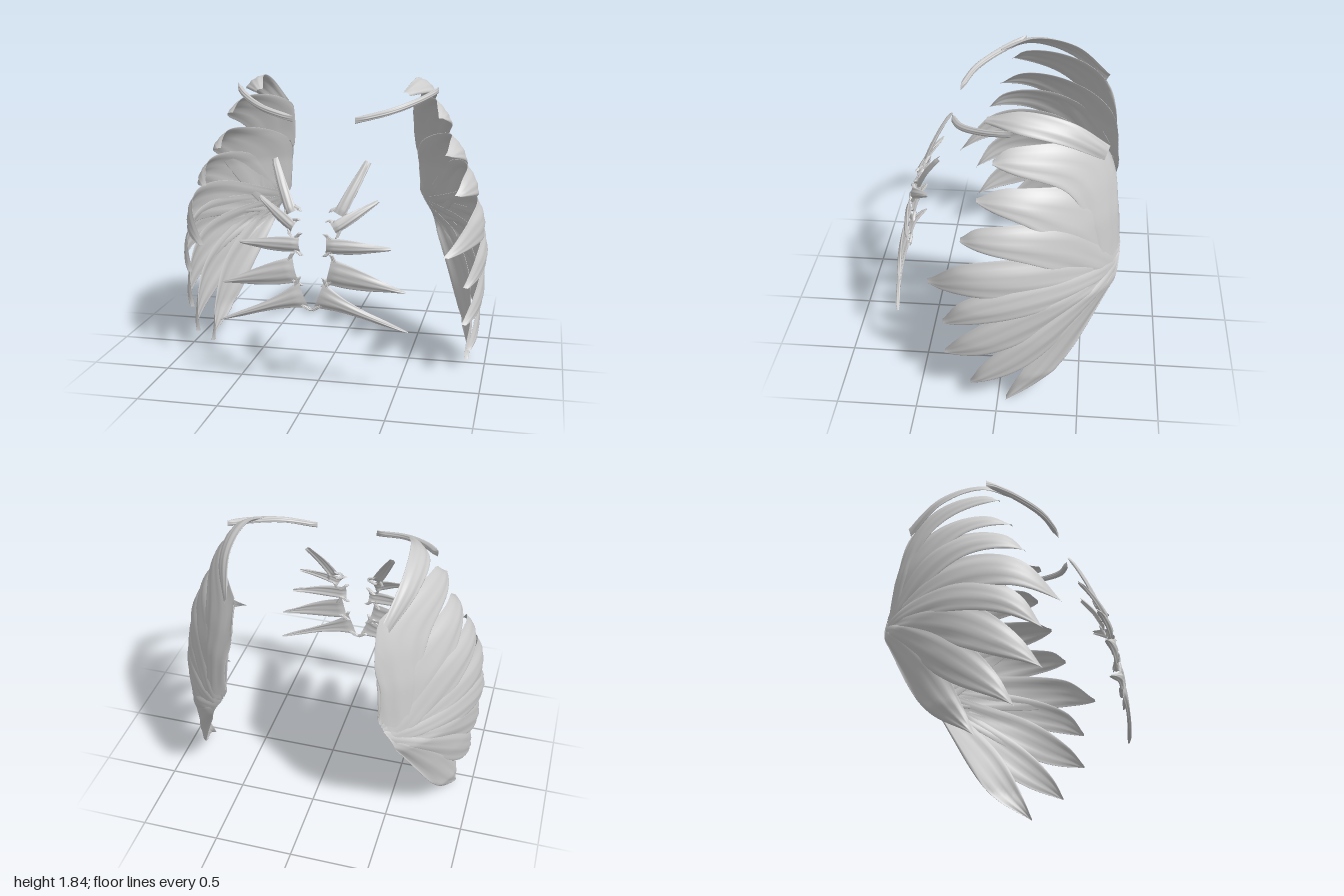
import * as THREE from 'three';

const material = new THREE.MeshStandardMaterial({ color: 0xcccccc, side: THREE.DoubleSide });

// Curved wing shell by height: [y, back edge z, back edge x, outermost x]
const SHELL = [
  [0, -0.1, 0.88, 0.89], [0.2, -0.36, 0.8, 0.94], [0.5, -0.53, 0.69, 0.975],
  [0.76, -0.68, 0.59, 0.985], [1.0, -0.71, 0.47, 0.97], [1.2, -0.7, 0.45, 0.925],
  [1.4, -0.66, 0.43, 0.86], [1.7, -0.55, 0.43, 0.71],
];
function shellX(z, y) {
  let i = 0;
  while (i < SHELL.length - 2 && y > SHELL[i + 1][0]) i++;
  const a = SHELL[i], b = SHELL[i + 1];
  const k = THREE.MathUtils.clamp((y - a[0]) / (b[0] - a[0]), 0, 1);
  const [, zb, xb, xo] = a.map((v, n) => THREE.MathUtils.lerp(v, b[n], k));
  const u = THREE.MathUtils.clamp((z - zb) / (0.1 - zb), 0, 1.6);
  return xb + (xo - xb) * Math.sin((u < 1 ? u ** 0.82 : u) * Math.PI / 2);
}

const vec = p => new THREE.Vector3(...p);
const curve = pts => new THREE.CatmullRomCurve3(pts, false, 'centripetal');

// Thin closed blade lofted between two edges; dir is its face direction, bend shifts points sideways
function blade(name, side, upper, lower, dir, thick, bulge, bend = () => {}) {
  const rows = 32, ring = 28, pos = [], index = [];
  const A = curve(upper), B = curve(lower), d = vec(dir).normalize();
  for (let i = 0; i <= rows; i++) {
    const t = i / rows, a = A.getPointAt(t), b = B.getPointAt(t);
    const end = Math.min(1, t * 12, (1 - t) * 12);
    for (let j = 0; j < ring; j++) {
      const ang = j / ring * Math.PI * 2, s = (1 - Math.cos(ang)) / 2;
      const p = a.clone().lerp(b, s);
      bend(p, s, t);
      const ripple = 0.003 * Math.sin(s * Math.PI * 6 + t * 4) * end;
      p.addScaledVector(d, Math.sin(ang) * thick / 2 * end + bulge * Math.sin(s * Math.PI) + ripple);
      pos.push(p.x * side, p.y, p.z);
      if (i < rows) {
        const q = i * ring + j, r = i * ring + (j + 1) % ring;
        if (side > 0) index.push(q, r, q + ring, r, r + ring, q + ring);
        else index.push(q, q + ring, r, r, q + ring, r + ring);
      }
    }
  }
  const g = new THREE.BufferGeometry();
  g.setAttribute('position', new THREE.Float32BufferAttribute(pos, 3));
  g.setIndex(index);
  g.computeVertexNormals();
  const mesh = new THREE.Mesh(g, material);
  mesh.name = name;
  return mesh;
}

// Wing feathers from top to bottom as z, y pairs: upper middle, upper shoulder, tip, lower notch
const WING = [
  [-0.58, 1.61, -0.06, 1.685, 0.04, 1.61, -0.4, 1.42],
  [-0.63, 1.36, -0.04, 1.475, 0.13, 1.39, -0.2, 1.27],
  [-0.45, 1.26, 0.1, 1.265, 0.22, 1.16, -0.15, 1.09],
  [-0.25, 1.1, 0.2, 1.05, 0.43, 0.82, 0.14, 0.86],
  [-0.15, 0.96, 0.2, 0.81, 0.33, 0.61, 0.05, 0.69],
  [-0.1, 0.78, 0.2, 0.55, 0.325, 0.37, 0, 0.45],
  [-0.15, 0.58, 0.08, 0.33, 0.17, 0.15, -0.2, 0.32],
  [-0.3, 0.52, -0.13, 0.2, -0.05, 0.005, -0.35, 0.2],
];
const CURL = [0.07, 0.12, 0.11, 0.12, 0.05, 0.03, 0.02, 0];

function wing(side) {
  const group = new THREE.Group();
  group.name = side > 0 ? 'leftWing' : 'rightWing';
  const at = (z, y) => new THREE.Vector3(0, y, z);
  WING.forEach(([z1, y1, z2, y2, zt, yt, zn, yn], i) => {
    // All feathers fan out from one hub on the back edge
    const upper = [at(-0.715, 0.97 - 0.008 * i), at(z1, y1), at(z2, y2), at(zt, yt)];
    const lower = [at(-0.6 - 0.013 * i, 0.85 - 0.013 * i), at(zn, yn), at(zt, yt - 0.005)];
    group.add(blade('wingFeather' + (i + 1), side, upper, lower, [1, 0, -0.3], 0.014, 0.012, (p, s, t) => {
      p.x = shellX(p.z, p.y) - CURL[i] * t ** 5 + (s - 0.5) * 0.03 * t - 0.006 * (i % 2);
    }));
  });
  // Broad feather arching over the top
  const inner = [[0.46, 1.62, -0.62], [0.51, 1.785, -0.4], [0.5, 1.84, -0.12], [0.45, 1.77, 0.09]];
  const outer = [[0.49, 1.54, -0.59], [0.6, 1.685, -0.36], [0.615, 1.755, -0.1], [0.49, 1.75, 0.1]];
  group.add(blade('crownFeather', side, inner.map(vec), outer.map(vec), [1, 1, 0], 0.016, 0.012));
  // Narrow plume reaching forward and inward
  const plume = [[0.655, 1.775, -0.06], [0.555, 1.725, 0.1], [0.4, 1.67, 0.25], [0.195, 1.62, 0.33]].map(vec);
  const shifted = dy => plume.map(p => p.clone().setY(p.y + dy));
  group.add(blade('forwardPlume', side, shifted(0.02), shifted(-0.02), [0.6, 0, 0.7], 0.036, 0));
  return group;
}

// Chest feathers: root, tip, root width, tip width, belly (fuller or leaner middle)
const CHEST = [
  [[0.145, 1.09, 0.565], [0.29, 1.385, 0.4], 0.07, 0.04, 0.15],
  [[0.12, 1.015, 0.615], [0.365, 1.16, 0.47], 0.07, 0.02, 0.3],
  [[0.08, 0.915, 0.635], [0.46, 0.9, 0.59], 0.09, 0.02, 0.4],
  [[0.1, 0.765, 0.66], [0.56, 0.655, 0.64], 0.16, 0.01, 0.25],
  [[0.045, 0.62, 0.68], [0.58, 0.418, 0.66], 0.17, 0.006, -0.4],
];

function chest(side) {
  const group = new THREE.Group();
  group.name = side > 0 ? 'leftChestFeathers' : 'rightChestFeathers';
  CHEST.forEach(([root, tip, w0, w1, belly], i) => {
    const a = vec(root), b = vec(tip);
    const along = b.clone().sub(a).normalize();
    const across = new THREE.Vector3(-along.y, along.x, 0).normalize();
    // Edge to either side of a spine that arches slightly forward
    const edge = sign => [0, 0.25, 0.5, 0.75, 1].map(t => {
      const p = a.clone().lerp(b, t), arch = Math.sin(t * Math.PI);
      p.z += 0.015 * arch;
      return p.addScaledVector(across, sign * THREE.MathUtils.lerp(w0, w1, t) / 2 * (1 + belly * arch));
    });
    group.add(blade('chestFeather' + (i + 1), side, edge(1), edge(-1), [0.3, 0, 1], 0.018, 0.012));
    // Short ragged quills splaying from the root
    for (const k of [-1, 1]) {
      const base = a.clone().addScaledVector(across, k * w0 * 0.3).addScaledVector(along, 0.04);
      const end = a.clone().addScaledVector(across, k * (w0 / 2 + 0.025)).addScaledVector(along, -0.01);
      const rim = d => [base, end].map(p => p.clone().addScaledVector(along, d));
      group.add(blade('quill', side, rim(0.015), rim(-0.015), [0.3, 0, 1], 0.02, 0));
    }
  });
  return group;
}

export function createModel() {
  const model = new THREE.Group();
  model.name = 'featherWings';
  for (const side of [1, -1]) model.add(wing(side), chest(side));
  return model;
}
